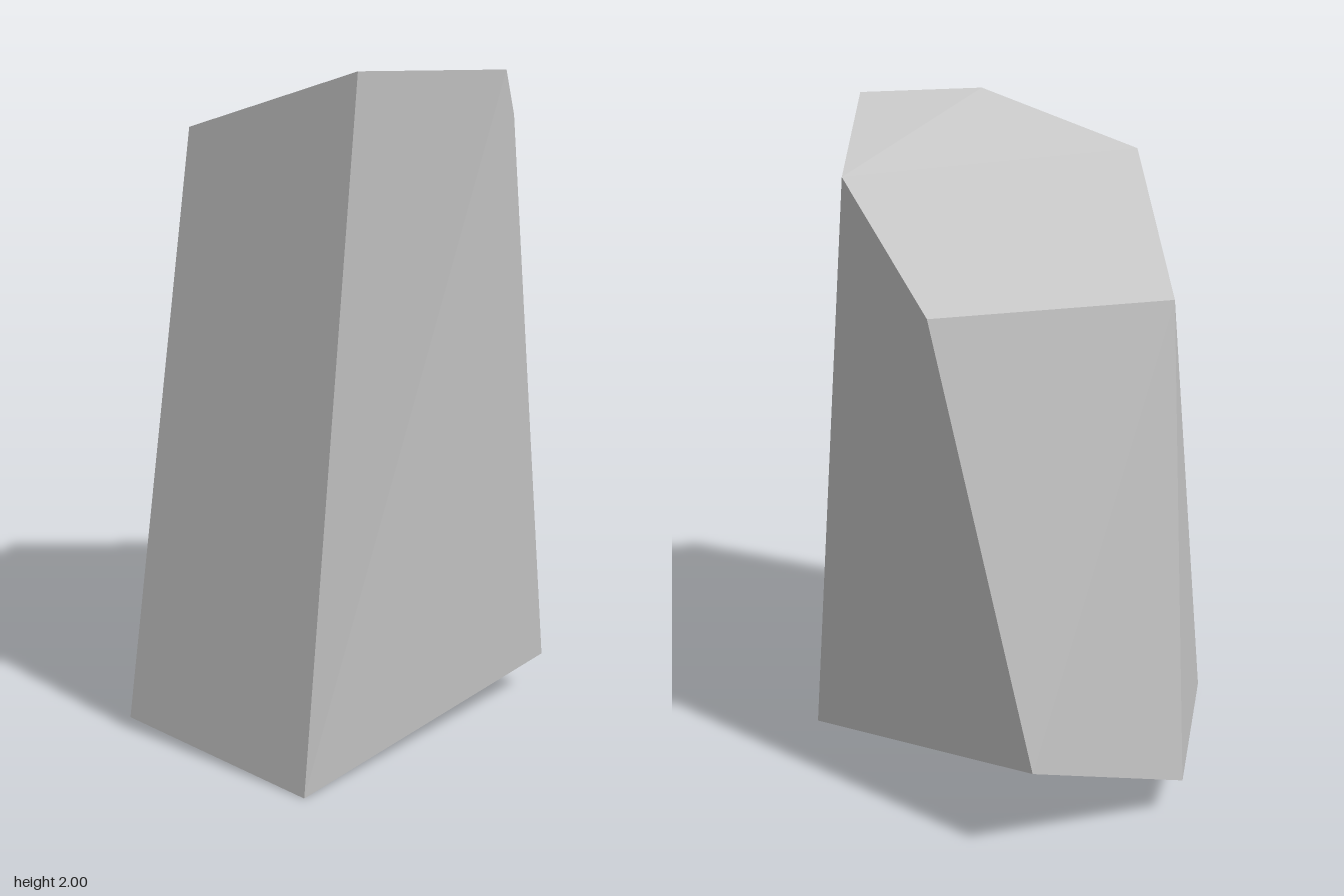
import * as THREE from 'three';

const stone = new THREE.MeshStandardMaterial({ color: 0xc5c5c5 });
stone.name = 'stoneGrey';

const corners = {
  // Tilted six-sided crown
  A: [-0.203, 1.535, -0.621], B: [0.288, 1.83, -0.45], C: [0.663, 2, -0.016],
  D: [0.464, 2, 0.322], E: [-0.016, 1.835, 0.508], F: [-0.608, 1.555, -0.092],
  // Uneven five-sided foot
  G: [-0.512, 0.295, -0.557], H: [0.4, 0.13, -0.527], I: [0.443, 0, 0.495],
  J: [-0.238, 0.037, 0.618], K: [-0.665, 0.12, -0.064],
};

// Facets, counter-clockwise from outside; four-sided ones split from first to third corner
const facets = [
  'BAFE', 'BED', 'BDC', // crown
  'FAGK', 'ABHG', 'BCIH', 'CDI', 'DEJI', 'EFJ', 'JFK', // sides
  'KGHJ', 'HIJ', // underside
];

// One flat normal per facet, even where a four-sided facet is slightly twisted
function facetedGeometry() {
  const positions = [], normals = [];
  for (const facet of facets) {
    const p = [...facet].map((name) => new THREE.Vector3(...corners[name]));
    const last = p[p.length - 1];
    const normal = p[2].clone().sub(p[0]).cross(last.clone().sub(p[1])).normalize();
    if (p.length === 3) normal.copy(new THREE.Triangle(...p).getNormal(new THREE.Vector3()));
    for (let i = 1; i < p.length - 1; i++) {
      for (const v of [p[0], p[i], p[i + 1]]) {
        positions.push(...v.toArray());
        normals.push(...normal.toArray());
      }
    }
  }
  const geometry = new THREE.BufferGeometry();
  geometry.setAttribute('position', new THREE.Float32BufferAttribute(positions, 3));
  geometry.setAttribute('normal', new THREE.Float32BufferAttribute(normals, 3));
  return geometry;
}

export function createModel() {
  const group = new THREE.Group();
  group.name = 'rock';
  const boulder = new THREE.Mesh(facetedGeometry(), stone);
  boulder.name = 'boulder';
  group.add(boulder);
  return group;
}
